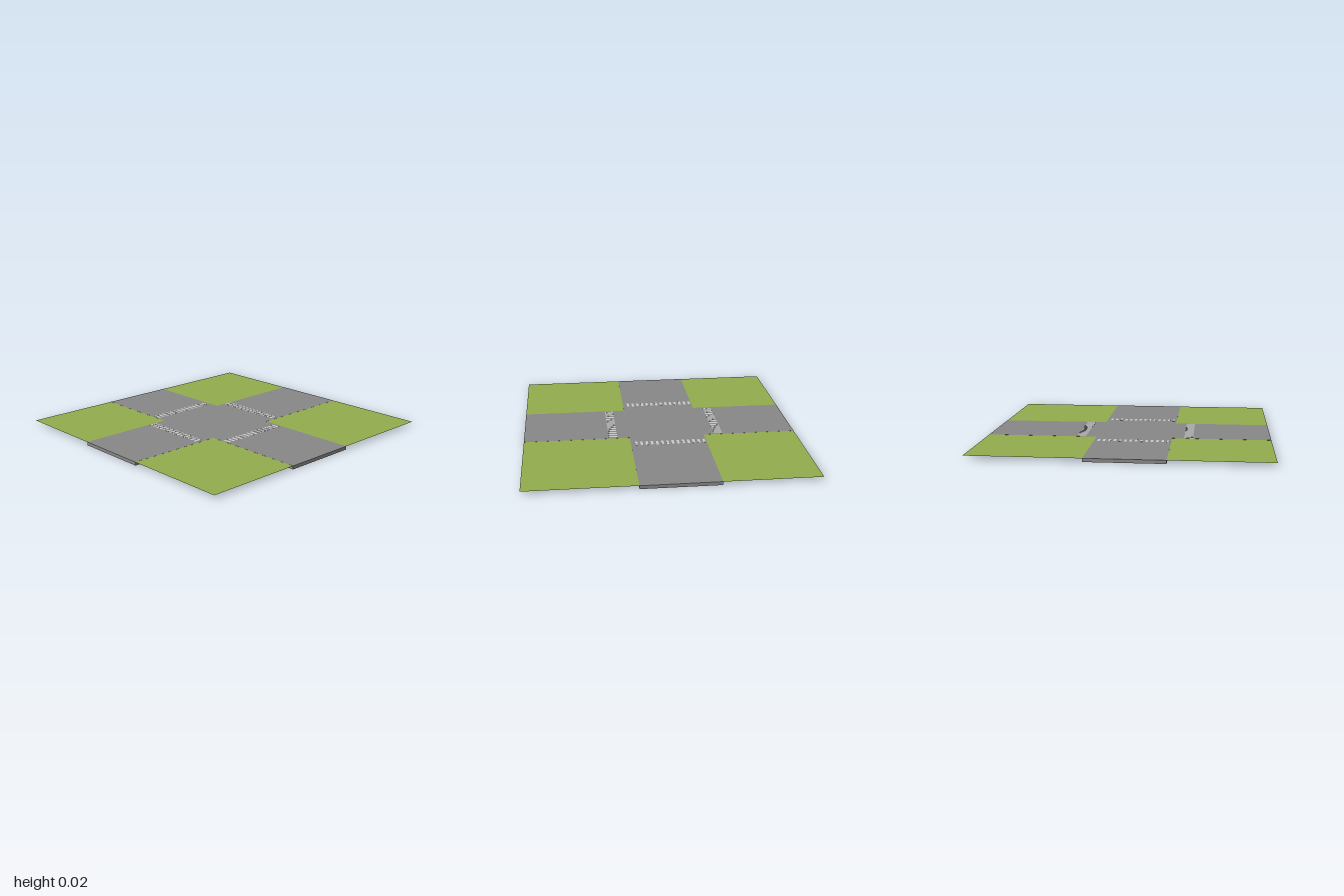
import * as THREE from 'three';

// Crossing laid out on local axes, then turned about y
const HALF_X = 0.803, HALF_Z = 0.781;
const ROAD_MIN = -0.25, ROAD_MAX = 0.18;
const HEIGHT = 0.02, GAP = 0.0004;
const STRIPES = 14, PITCH = 0.0297, STRIPE_WIDTH = 0.0135, STRIPE_LENGTH = 0.05;

const roadMaterial = new THREE.MeshStandardMaterial({ color: 0x888888 });
const stripeMaterial = new THREE.MeshStandardMaterial({ color: 0xcccccc });
const grassMaterial = new THREE.MeshStandardMaterial({ color: 0x93ad4d, side: THREE.DoubleSide });

// Cross-shaped road slab
function makeRoad() {
  const a = ROAD_MIN, b = ROAD_MAX, X = HALF_X, Z = HALF_Z;
  const outline = [
    [a, -Z], [b, -Z], [b, a], [X, a], [X, b], [b, b],
    [b, Z], [a, Z], [a, b], [-X, b], [-X, a], [a, a],
  ].map(([x, z]) => new THREE.Vector2(x, -z));
  const geometry = new THREE.ExtrudeGeometry(new THREE.Shape(outline), {
    depth: HEIGHT - 2 * GAP, bevelEnabled: false,
  });
  geometry.rotateX(-Math.PI / 2);
  const road = new THREE.Mesh(geometry, roadMaterial);
  road.position.y = GAP;
  road.name = 'road';
  return road;
}

// Flat lawn filling one corner
function makeLawn(x0, x1, z0, z1) {
  const geometry = new THREE.PlaneGeometry(x1 - x0, z1 - z0).rotateX(-Math.PI / 2);
  const lawn = new THREE.Mesh(geometry, grassMaterial);
  lawn.position.set((x0 + x1) / 2, HEIGHT - 2 * GAP, (z0 + z1) / 2);
  lawn.name = 'lawn';
  return lawn;
}

// Row of stripes across one arm of the road
function makeCrosswalk(x, z, turned) {
  const crosswalk = new THREE.Group();
  crosswalk.name = 'crosswalk';
  const geometry = new THREE.BoxGeometry(STRIPE_WIDTH, HEIGHT, STRIPE_LENGTH);
  for (let i = 0; i < STRIPES; i++) {
    const stripe = new THREE.Mesh(geometry, stripeMaterial);
    stripe.position.set((i - (STRIPES - 1) / 2) * PITCH, HEIGHT / 2, 0);
    stripe.name = 'stripe';
    crosswalk.add(stripe);
  }
  crosswalk.position.set(x, 0, z);
  if (turned) crosswalk.rotation.y = Math.PI / 2;
  return crosswalk;
}

export function createModel() {
  const crossing = new THREE.Group();
  crossing.name = 'roadCrossing';
  crossing.add(makeRoad());

  for (const [x0, x1] of [[-HALF_X, ROAD_MIN], [ROAD_MAX, HALF_X]]) {
    for (const [z0, z1] of [[-HALF_Z, ROAD_MIN], [ROAD_MAX, HALF_Z]]) {
      crossing.add(makeLawn(x0, x1, z0, z1));
    }
  }

  const middle = -0.039;
  crossing.add(
    makeCrosswalk(middle, -0.336, false),
    makeCrosswalk(middle, 0.275, false),
    makeCrosswalk(-0.342, middle - 0.005, true),
    makeCrosswalk(0.268, middle - 0.005, true),
  );

  crossing.rotation.y = 0.302;
  const model = new THREE.Group();
  model.name = 'model';
  model.add(crossing);
  return model;
}
